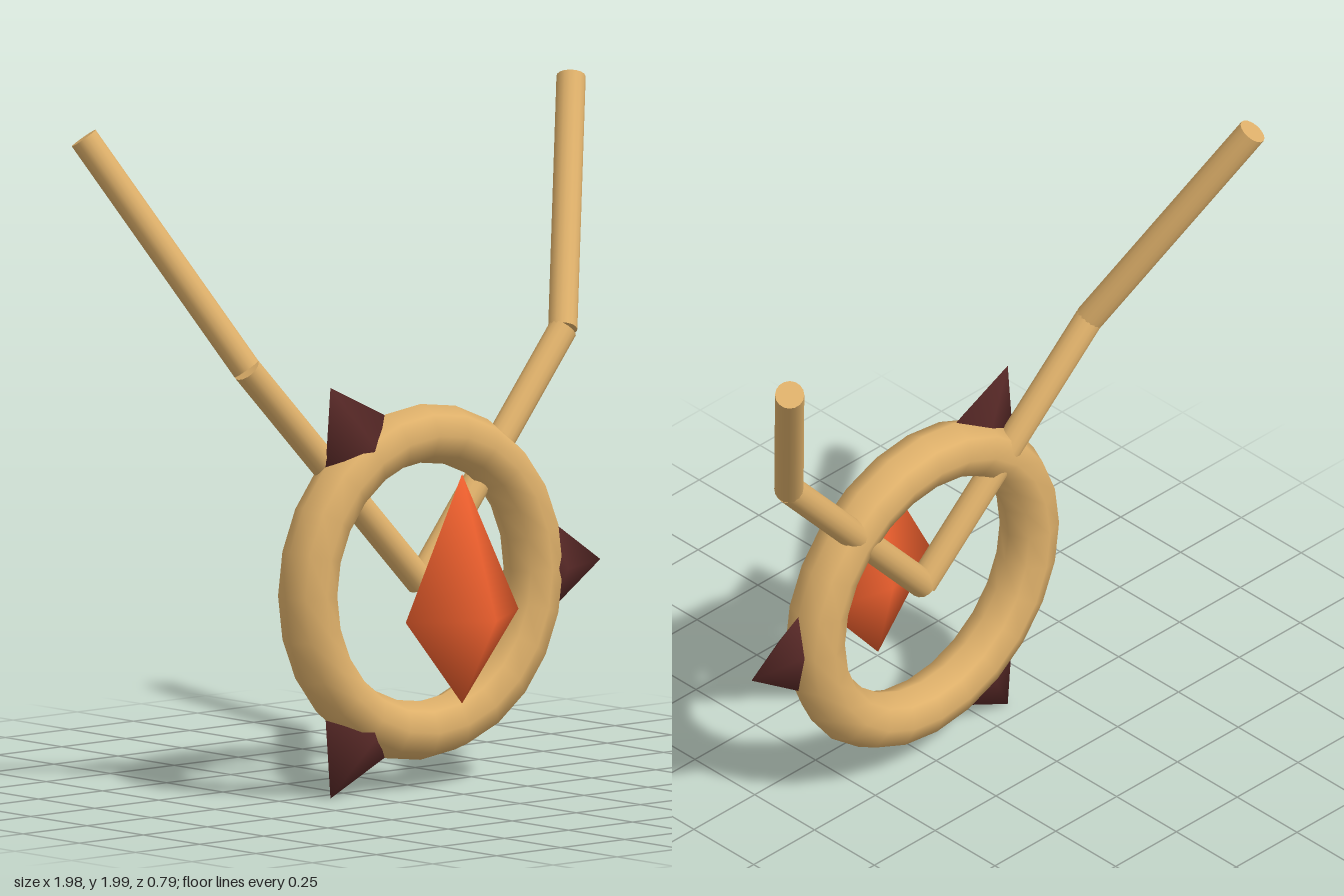
import * as THREE from 'three';

const wood = new THREE.MeshStandardMaterial({ color: 0xdeb06a });
const ember = new THREE.MeshStandardMaterial({ color: 0xf4622f });
const dark = new THREE.MeshStandardMaterial({ color: 0x5a2a28 });

// Kite-shaped crystal: long tip up, short tip down, deep front, shallow back
function crystalGeometry(halfWidth, up, down, front, back) {
  const geo = new THREE.BufferGeometry();
  geo.setAttribute('position', new THREE.Float32BufferAttribute([
    0, up, 0, 0, -down, 0,
    halfWidth, 0, 0, 0, 0, front, -halfWidth, 0, 0, 0, 0, -back,
  ], 3));
  const index = [];
  for (let i = 0; i < 4; i++) {
    const a = 2 + i, b = 2 + (i + 1) % 4;
    index.push(0, b, a, 1, a, b);
  }
  geo.setIndex(index);
  geo.computeVertexNormals();
  return geo;
}

// Straight round rod between two points
function rod(name, from, to, radius) {
  const dir = to.clone().sub(from);
  const mesh = new THREE.Mesh(new THREE.CylinderGeometry(radius, radius, dir.length(), 16), wood);
  mesh.name = name;
  mesh.position.copy(from).add(to).multiplyScalar(0.5);
  mesh.quaternion.setFromUnitVectors(new THREE.Vector3(0, 1, 0), dir.normalize());
  return mesh;
}

export function createModel() {
  const model = new THREE.Group();
  model.name = 'amulet';
  const centre = new THREE.Vector3(0, 0.615, 0.058);

  // Ring
  const ring = new THREE.Mesh(new THREE.TorusGeometry(0.44, 0.087, 8, 24), wood);
  ring.name = 'ring';
  ring.position.copy(centre);
  model.add(ring);

  // Floating centre gem
  const gem = new THREE.Mesh(crystalGeometry(0.22, 0.42, 0.26, 0.152, 0.063), ember);
  gem.name = 'centreGem';
  gem.position.set(0, 0.535, 0.243);
  model.add(gem);

  // Three spikes spaced evenly around the ring
  const spikeGeometry = crystalGeometry(0.138, 0.2, 0.12, 0.087, 0.033);
  for (let i = 0; i < 3; i++) {
    const angle = i * Math.PI * 2 / 3;
    const spike = new THREE.Mesh(spikeGeometry, dark);
    spike.name = `spike${i + 1}`;
    spike.position.set(Math.cos(angle) * 0.502, Math.sin(angle) * 0.502, 0).add(centre);
    spike.rotation.z = angle - Math.PI / 2;
    model.add(spike);
  }

  // Bent straps, mirrored left and right
  for (const [side, s] of [['left', 1], ['right', -1]]) {
    const elbow = new THREE.Vector3(s * 0.617, 1.297, -0.012);
    const end = new THREE.Vector3(s * 0.951, 1.976, -0.355);
    model.add(rod(`${side}LowerStrap`, centre, elbow, 0.043));
    model.add(rod(`${side}UpperStrap`, elbow, end, 0.043));
  }
  return model;
}
